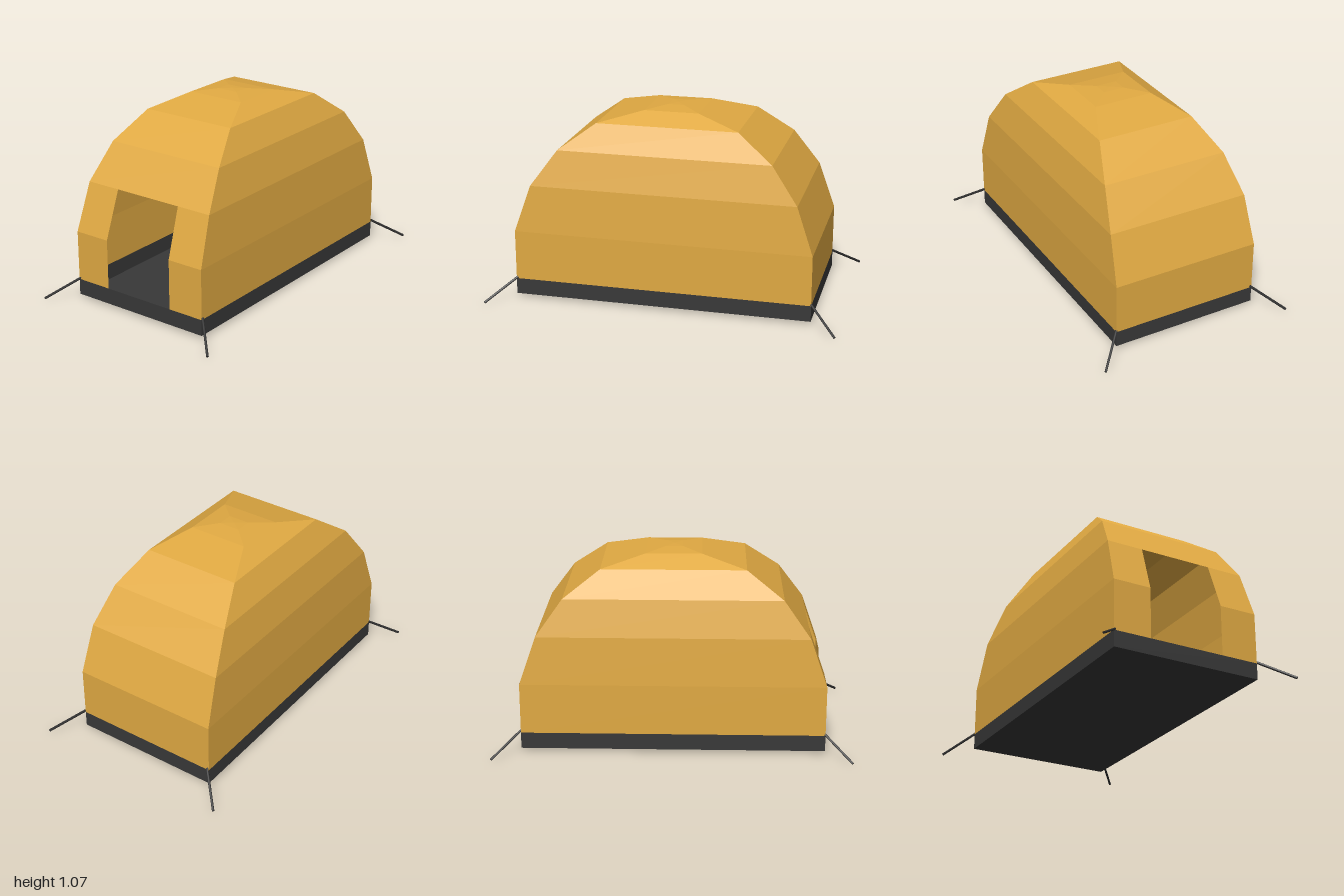
import * as THREE from 'three';

// Flat-shaded mesh from a list of four-cornered panels
function panelMesh(name, quads, material) {
  const pos = [];
  for (const [a, b, c, d] of quads) for (const p of [a, b, c, a, c, d]) pos.push(...p);
  const g = new THREE.BufferGeometry();
  g.setAttribute('position', new THREE.Float32BufferAttribute(pos, 3));
  g.computeVertexNormals();
  const mesh = new THREE.Mesh(g, material);
  mesh.name = name;
  return mesh;
}

// Four corners of a level, counter-clockwise seen from above, starting front right
const ring = ([y, a, b]) => [[-a, y, b], [a, y, b], [a, y, -b], [-a, y, -b]];
const lerp = (p, q, t) => p.map((v, i) => v + (q[i] - v) * t);

export function createModel() {
  const canvas = new THREE.MeshStandardMaterial({ color: 0xe0a942, side: THREE.DoubleSide, flatShading: true });
  canvas.name = 'canvas';
  const groundsheet = new THREE.MeshStandardMaterial({ color: 0x383838, side: THREE.DoubleSide, flatShading: true });
  groundsheet.name = 'groundsheet';
  const cord = new THREE.MeshStandardMaterial({ color: 0x2e2e2e });
  cord.name = 'cord';

  const tent = new THREE.Group();
  tent.name = 'tent';
  tent.rotation.y = -0.034;

  // Dome levels: height, half width, half length
  const levels = [
    [0.11, 0.423, 0.83], [0.39, 0.423, 0.83], [0.655, 0.406, 0.738], [0.855, 0.359, 0.593],
    [1.0, 0.28, 0.393], [1.06, 0.17, 0.152], [1.073, 0.06, 0.045], [1.075, 0, 0],
  ];
  const names = ['frontWall', 'leftWall', 'backWall', 'rightWall'];
  const body = new THREE.Group();
  body.name = 'body';
  body.position.set(-0.006, 0, 0.004);
  tent.add(body);

  names.forEach((name, s) => {
    const quads = [];
    for (let i = 0; i < levels.length - 1; i++) {
      const lo = ring(levels[i]), hi = ring(levels[i + 1]);
      const a = lo[s], b = lo[(s + 1) % 4], c = hi[(s + 1) % 4], d = hi[s];
      if (s === 0 && i < 2) {
        // Doorway: leave the middle half of the two lower front panels open
        quads.push([a, lerp(a, b, 0.25), lerp(d, c, 0.25), d]);
        quads.push([lerp(a, b, 0.75), b, c, lerp(d, c, 0.75)]);
      } else quads.push([a, b, c, d]);
    }
    body.add(panelMesh(name, quads, canvas));
  });

  // Open tub floor
  const bottom = ring([0.02, 0.423, 0.83]), rim = ring(levels[0]);
  const tub = bottom.map((p, i) => [p, bottom[(i + 1) % 4], rim[(i + 1) % 4], rim[i]]);
  tub.push([...bottom].reverse());
  body.add(panelMesh('tubFloor', tub, groundsheet));

  // Guy ropes from the four corners to the ground
  const up = new THREE.Vector3(0, 1, 0);
  for (const sx of [-1, 1]) for (const sz of [-1, 1]) {
    const top = new THREE.Vector3(sx * 0.418, 0.12, sz * 0.826);
    const end = new THREE.Vector3(sx * 0.563, 0.007, sz * 0.974);
    const dir = end.clone().sub(top);
    const rope = new THREE.Mesh(new THREE.CylinderGeometry(0.007, 0.007, dir.length(), 6), cord);
    rope.name = (sz > 0 ? 'front' : 'back') + (sx > 0 ? 'Left' : 'Right') + 'Rope';
    rope.position.copy(top).add(end).multiplyScalar(0.5);
    rope.quaternion.setFromUnitVectors(up, dir.normalize());
    tent.add(rope);
  }

  const model = new THREE.Group();
  model.name = 'domeTent';
  model.add(tent);
  return model;
}
